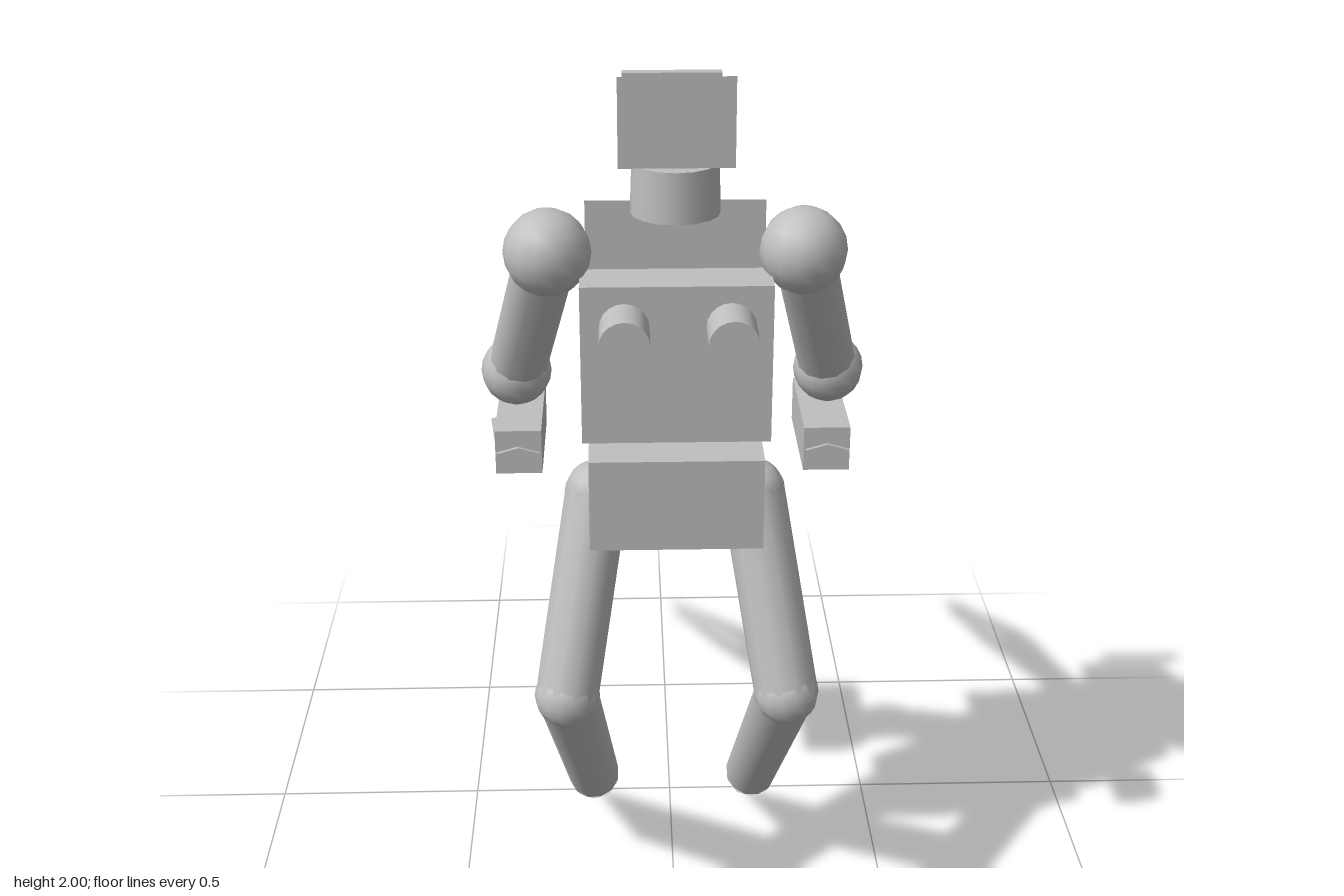
import * as THREE from 'three';
import { toCreasedNormals } from 'three/addons/utils/BufferGeometryUtils.js';

const grey = new THREE.MeshStandardMaterial({ color: 0xbfbfbf });
grey.name = 'plain grey';

const V = (x, y, z) => new THREE.Vector3(x, y, z);

function add(parent, name, geometry, position) {
  const mesh = new THREE.Mesh(geometry, grey);
  mesh.name = name;
  if (position) mesh.position.copy(position);
  parent.add(mesh);
  return mesh;
}

const box = (parent, name, w, h, d, x, y, z) =>
  add(parent, name, new THREE.BoxGeometry(w, h, d), V(x, y, z));

const ball = (parent, name, r, p) =>
  add(parent, name, new THREE.SphereGeometry(r, 14, 10), p);

// Round limb from a to b, tapering from ra to rb
function limb(parent, name, a, b, ra, rb, sides = 12) {
  const dir = b.clone().sub(a);
  const geometry = new THREE.CylinderGeometry(rb, ra, dir.length(), sides);
  const mesh = add(parent, name, geometry, a.clone().add(b).multiplyScalar(0.5));
  mesh.quaternion.setFromUnitVectors(V(0, 1, 0), dir.normalize());
  return mesh;
}

// Right-angled wedge: upright front, slope falling towards the back
function wedge(parent, name, width, front, back, bottom, top) {
  const shape = new THREE.Shape([
    new THREE.Vector2(front, bottom),
    new THREE.Vector2(front, top),
    new THREE.Vector2(back, bottom),
  ]);
  const geometry = new THREE.ExtrudeGeometry(shape, { depth: width, bevelEnabled: false });
  geometry.translate(0, 0, -width / 2).rotateY(-Math.PI / 2);
  return add(parent, name, geometry);
}

// Faceted blade through flat diamond sections [x, y, z, halfWidth, halfThickness], front to back
function blade(parent, name, sections, side) {
  const points = [], index = [];
  for (const [x, y, z, w, t] of sections) {
    const cx = x * side;
    points.push(cx + w, y, z, cx, y + t, z, cx - w, y, z, cx, y - t, z);
  }
  for (let i = 0; i < sections.length - 1; i++) {
    for (let j = 0; j < 4; j++) {
      const a = i * 4 + j, a2 = i * 4 + (j + 1) % 4;
      index.push(a, a + 4, a2, a2, a + 4, a2 + 4);
    }
  }
  const e = (sections.length - 1) * 4;
  index.push(0, 1, 2, 0, 2, 3, e, e + 2, e + 1, e, e + 3, e + 2);
  const geometry = new THREE.BufferGeometry();
  geometry.setAttribute('position', new THREE.Float32BufferAttribute(points, 3));
  geometry.setIndex(index);
  return add(parent, name, toCreasedNormals(geometry, 0.3));
}

export function createModel() {
  const model = new THREE.Group();
  model.name = 'figure';

  // Head, neck and floating bar behind the head
  wedge(model, 'head', 0.23, 0.515, 0.178, 1.82, 2.0);
  box(model, 'headBar', 0.21, 0.035, 0.026, 0, 1.915, 0.185);
  add(model, 'neck', new THREE.CylinderGeometry(0.088, 0.092, 0.105, 16), V(0, 1.757, 0.425));

  // Torso
  box(model, 'chest', 0.39, 0.34, 0.288, 0, 1.415, 0.396);
  wedge(model, 'backWedge', 0.366, 0.43, 0.147, 1.42, 1.73);
  box(model, 'pelvis', 0.366, 0.205, 0.264, 0, 1.104, 0.42);

  for (const s of [1, -1]) {
    const half = new THREE.Group();
    half.name = s > 0 ? 'leftSide' : 'rightSide';
    model.add(half);

    // Short cylinder in front of the chest
    limb(half, 'chestCylinder', V(s * 0.106, 1.523, 0.602), V(s * 0.106, 1.523, 0.705), 0.05, 0.05, 20);

    // Arm
    const shoulder = V(s * 0.26, 1.627, 0.443);
    const elbow = V(s * 0.343, 1.286, 0.236);
    ball(half, 'shoulder', 0.09, shoulder);
    ball(half, 'elbow', 0.077, elbow);
    limb(half, 'upperArm', shoulder, elbow, 0.064, 0.064);
    box(half, 'forearm', 0.103, 0.103, 0.287, s * 0.343, 1.104, 0.133);

    // Bent upper claw and straight lower claw
    blade(half, 'upperClaw', [
      [0.343, 1.106, 0.29, 0.048, 0.014],
      [0.37, 1.064, 0, 0.052, 0.012],
      [0.395, 0.895, -0.39, 0.042, 0.01],
      [0.42, 0.637, -0.705, 0.01, 0.004],
    ], s);
    blade(half, 'lowerClaw', [
      [0.37, 1.056, 0, 0.04, 0.012],
      [0.395, 0.815, -0.37, 0.03, 0.014],
      [0.42, 0.648, -0.65, 0.012, 0.008],
    ], s);

    // Leg with a pointed foot
    const hip = V(s * 0.168, 1.077, 0.423);
    const knee = V(s * 0.238, 0.662, 0.578);
    const ankle = V(s * 0.19, 0.23, 0.256);
    ball(half, 'hip', 0.07, hip);
    ball(half, 'knee', 0.071, knee);
    limb(half, 'thigh', hip, knee, 0.07, 0.07);
    limb(half, 'shin', knee, ankle, 0.067, 0.06);
    limb(half, 'foot', ankle, V(s * 0.185, 0.004, 0.005), 0.06, 0.001, 10);
  }
  return model;
}
